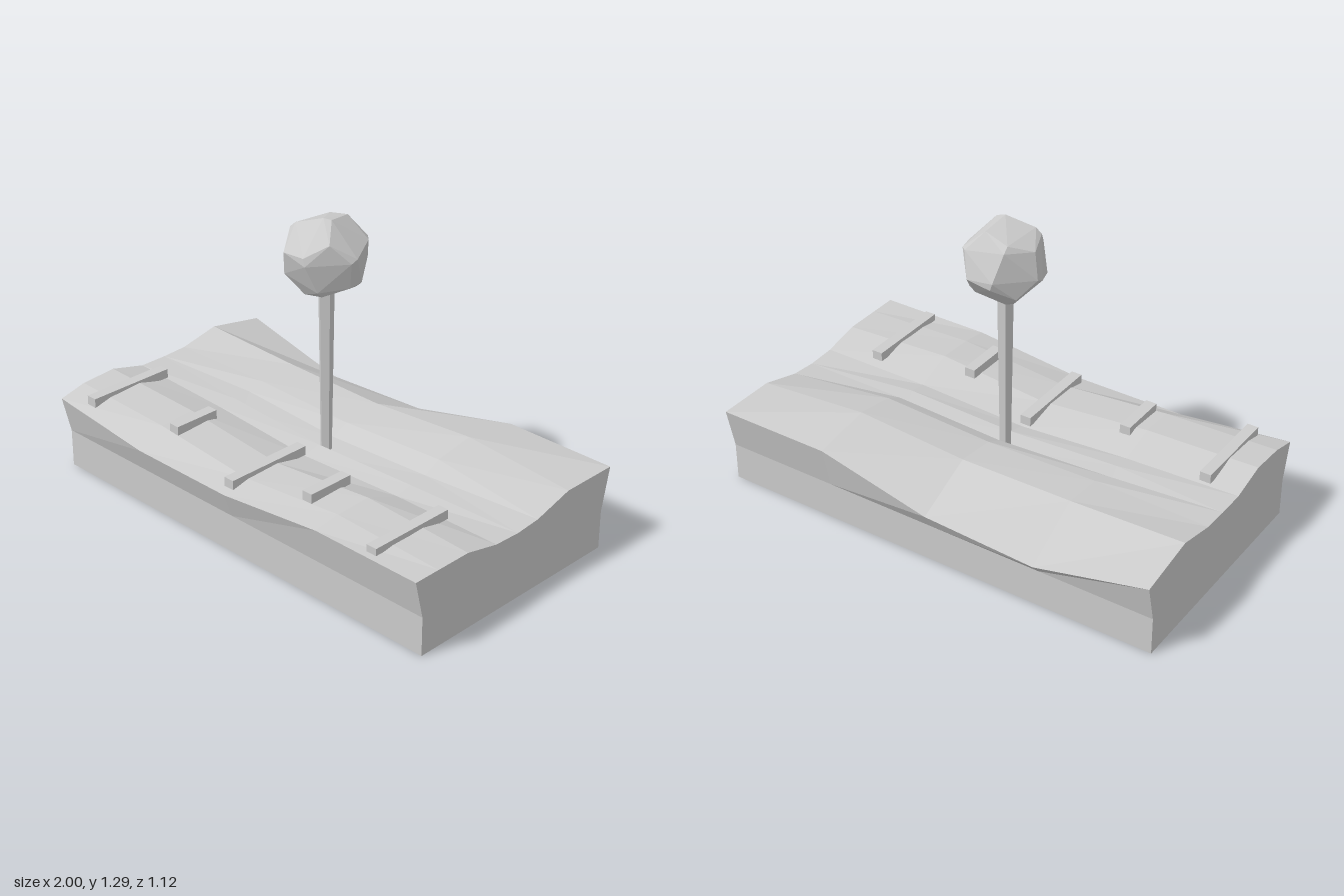
import * as THREE from 'three';
import { ConvexGeometry } from 'three/addons/geometries/ConvexGeometry.js';

const material = new THREE.MeshStandardMaterial({ color: 0xcccccc, flatShading: true });

// Ground heights: each row runs front to back, one height per column.
const columns = [-1, -0.5, 0, 0.5, 1];
const rows = [
  { z: 0.56, y: [0.33, 0.275, 0.275, 0.33, 0.33] },
  { z: 0.44, y: [0.36, 0.345, 0.302, 0.348, 0.33] },
  { z: 0.28, y: [0.37, 0.355, 0.308, 0.355, 0.33] },
  { z: 0.12, y: [0.33, 0.31, 0.275, 0.295, 0.295] },
  { z: 0.04, y: [0.33, 0.322, 0.295, 0.31, 0.29], taper: true },
  { z: -0.005, y: [0.33, 0.25, 0.23, 0.24, 0.29] },
  { z: -0.043, y: [0.33, 0.325, 0.298, 0.32, 0.29], taper: true },
  { z: -0.12, y: [0.335, 0.345, 0.335, 0.36, 0.3] },
  { z: -0.3, y: [0.375, 0.36, 0.355, 0.39, 0.35] },
  { z: -0.56, y: [0.33, 0.21, 0.235, 0.35, 0.35] },
];

// One closed cross-section of the ground; the ditch closes to a line at both ends.
function section(i) {
  const x = columns[i];
  const point = (y, z) => new THREE.Vector3(x, y, z);
  const top = rows.map((r) => point(r.y[i], r.taper && Math.abs(x) === 1 ? -0.005 : r.z));
  return [point(0, 0.52), point(0.165, 0.52), ...top, point(0.165, -0.52), point(0, -0.52)];
}

function groundGeometry() {
  const points = [];
  const sections = columns.map((_, i) => section(i));
  const n = sections[0].length;
  for (let j = 0; j < n; j++) {
    const k = (j + 1) % n;
    for (let i = 0; i < columns.length - 1; i++) {
      const a = sections[i][j], b = sections[i + 1][j];
      const c = sections[i + 1][k], d = sections[i][k];
      points.push(a, b, c, a, c, d);
    }
    // End caps
    const left = sections[0], right = sections[columns.length - 1];
    points.push(new THREE.Vector3(-1, 0.12, 0), left[j], left[k]);
    points.push(new THREE.Vector3(1, 0.12, 0), right[k], right[j]);
  }
  const geometry = new THREE.BufferGeometry().setFromPoints(points);
  geometry.computeVertexNormals();
  return geometry;
}

// Faceted crown: twelve plus twenty evenly spread points on a sphere
function crownGeometry(radius) {
  const points = [];
  for (const source of [new THREE.IcosahedronGeometry(radius), new THREE.DodecahedronGeometry(radius)]) {
    const seen = new Set();
    const position = source.attributes.position;
    for (let i = 0; i < position.count; i++) {
      const p = new THREE.Vector3().fromBufferAttribute(position, i);
      const key = p.toArray().map((v) => Math.round(v * 1000)).join();
      if (!seen.has(key)) points.push(p);
      seen.add(key);
    }
  }
  return new ConvexGeometry(points);
}

export function createModel() {
  const model = new THREE.Group();
  const add = (name, geometry, x = 0, y = 0, z = 0) => {
    const mesh = new THREE.Mesh(geometry, material);
    mesh.name = name;
    mesh.position.set(x, y, z);
    model.add(mesh);
    return mesh;
  };

  add('ground', groundGeometry());

  // Cross planks along the front path: x, top, front z, back z
  const planks = [
    [-0.85, 0.375, 0.52, 0.125],
    [-0.425, 0.375, 0.44, 0.23],
    [-0.015, 0.325, 0.52, 0.125],
    [0.335, 0.375, 0.44, 0.23],
    [0.755, 0.36, 0.53, 0.14],
  ];
  for (const [x, top, front, back] of planks) {
    add('plank', new THREE.BoxGeometry(0.048, 0.04, front - back), x, top - 0.02, (front + back) / 2);
  }

  // Tree
  add('trunk', new THREE.CylinderGeometry(0.034, 0.024, 0.72, 5), 0, 0.62, 0);
  add('crown', crownGeometry(0.177), 0, 1.115, 0).rotation.set(0.3, 0.4, 0.2);

  return model;
}
